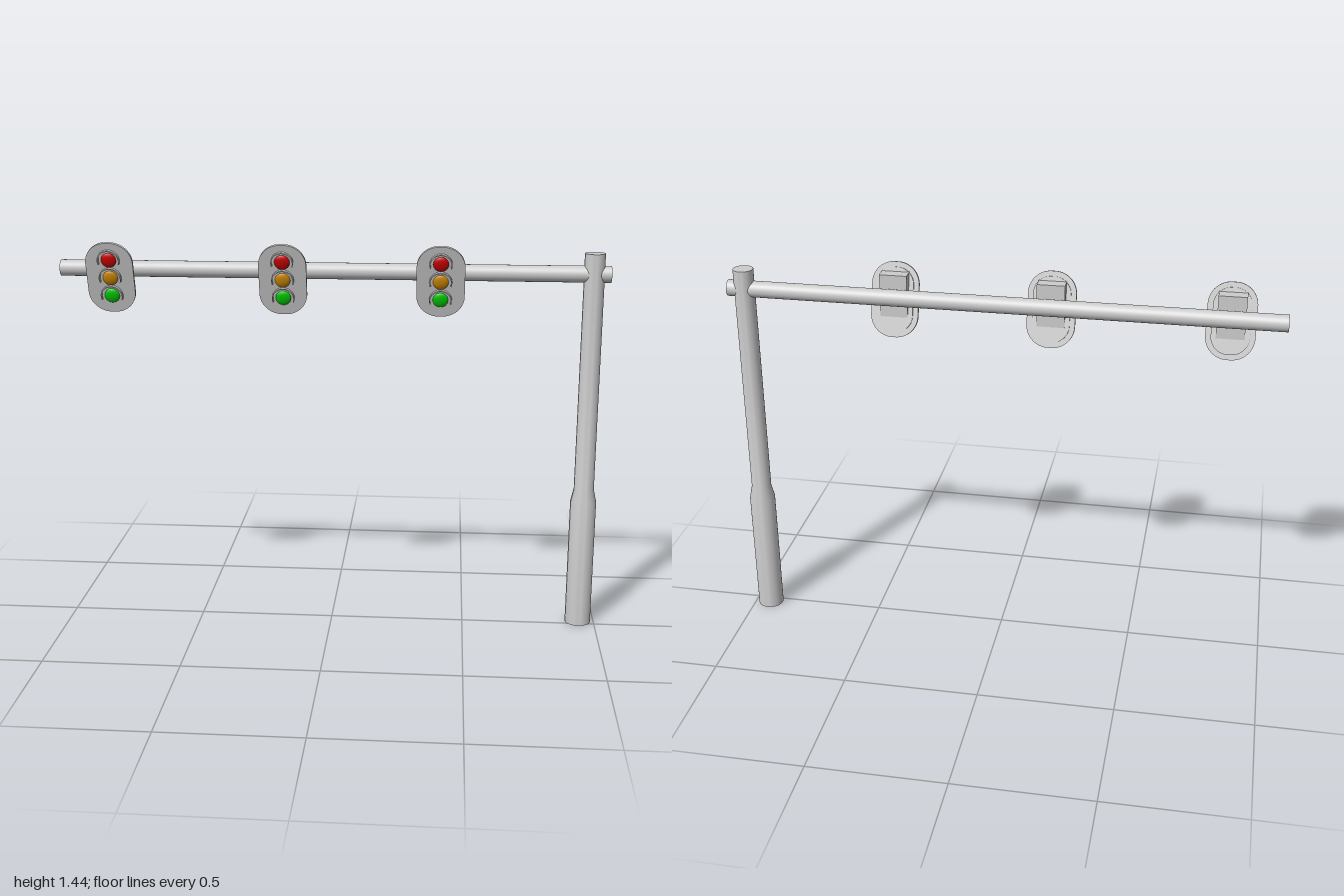
import * as THREE from 'three';
import { toCreasedNormals } from 'three/addons/utils/BufferGeometryUtils.js';

const grey = new THREE.MeshStandardMaterial({ color: 0xcccccc });

function part(name, geometry, material = grey) {
  const mesh = new THREE.Mesh(geometry, material);
  mesh.name = name;
  return mesh;
}

// Upright slab with rounded corners, its back face at z
function slab(w, h, r, z, depth) {
  const x = w / 2 - r, y = h / 2 - r;
  const s = new THREE.Shape();
  s.absarc(x, y, r, 0, Math.PI / 2);
  s.absarc(-x, y, r, Math.PI / 2, Math.PI);
  s.absarc(-x, -y, r, Math.PI, Math.PI * 1.5);
  s.absarc(x, -y, r, Math.PI * 1.5, Math.PI * 2);
  s.closePath();
  const g = new THREE.ExtrudeGeometry(s, { depth, bevelEnabled: false, curveSegments: 10 });
  return toCreasedNormals(g.translate(0, 0, z), 0.6);
}

// Thin hood arching over a lamp
function visorGeometry() {
  const a = -0.35, b = Math.PI + 0.35;
  const s = new THREE.Shape();
  s.absarc(0, 0, 0.041, a, b, false);
  s.absarc(0, 0, 0.037, b, a, true);
  s.closePath();
  const g = new THREE.ExtrudeGeometry(s, { depth: 0.011, bevelEnabled: false, curveSegments: 20 });
  return toCreasedNormals(g, 0.6);
}

// Wedge that fills the gap between the upright arm and the tilted head
function wedgeGeometry(width) {
  const s = new THREE.Shape([
    new THREE.Vector2(-0.022, -0.078),
    new THREE.Vector2(0.03, 0.098),
    new THREE.Vector2(-0.022, 0.098),
  ]);
  const g = new THREE.ExtrudeGeometry(s, { depth: width, bevelEnabled: false });
  return g.rotateY(-Math.PI / 2).translate(width / 2, 0, 0);
}

function createSignal() {
  const signal = new THREE.Group();
  signal.name = 'signal';
  signal.add(part('mountWedge', wedgeGeometry(0.1)));

  const head = new THREE.Group();
  head.name = 'signalHead';
  head.rotation.x = 0.28;
  head.add(part('backPlate', slab(0.173, 0.272, 0.08, 0, 0.011)));
  head.add(part('rearPanel', slab(0.135, 0.234, 0.062, -0.005, 0.006)));

  // Three domed lamps, each under its visor
  const lamps = [['redLamp', 0xcc0000], ['amberLamp', 0xcc8800], ['greenLamp', 0x00cc00]];
  lamps.forEach(([name, color], i) => {
    const y = (1 - i) * 0.07;
    const dome = new THREE.SphereGeometry(0.028, 24, 8, 0, Math.PI * 2, 0, Math.PI / 2);
    const lamp = part(name, dome.rotateX(Math.PI / 2).scale(1, 1, 0.35),
      new THREE.MeshStandardMaterial({ color }));
    lamp.position.set(0, y, 0.011);
    const visor = part('visor', visorGeometry());
    visor.position.set(0, y, 0.0105);
    head.add(lamp, visor);
  });
  signal.add(head);
  return signal;
}

export function createModel() {
  const model = new THREE.Group();
  model.name = 'trafficLightGantry';
  const poleZ = -0.026;

  // Pole with a thicker base and a short taper
  const profile = [[0, 0], [0.048, 0], [0.048, 0.48], [0.037, 0.53], [0.037, 1.41], [0, 1.41]]
    .map(([r, y]) => new THREE.Vector2(r, y));
  const pole = part('pole', toCreasedNormals(new THREE.LatheGeometry(profile, 32), 0.5));
  pole.position.set(0.94, 0, poleZ);
  model.add(pole);

  // Horizontal arm running through the pole
  const arm = part('arm', new THREE.CylinderGeometry(0.03, 0.03, 2, 32).rotateZ(Math.PI / 2));
  arm.position.set(0, 1.335, poleZ);
  model.add(arm);

  // Signals along the arm
  for (const x of [-0.805, -0.175, 0.393]) {
    const signal = createSignal();
    signal.position.set(x, 1.311, 0.023);
    model.add(signal);
  }
  return model;
}
